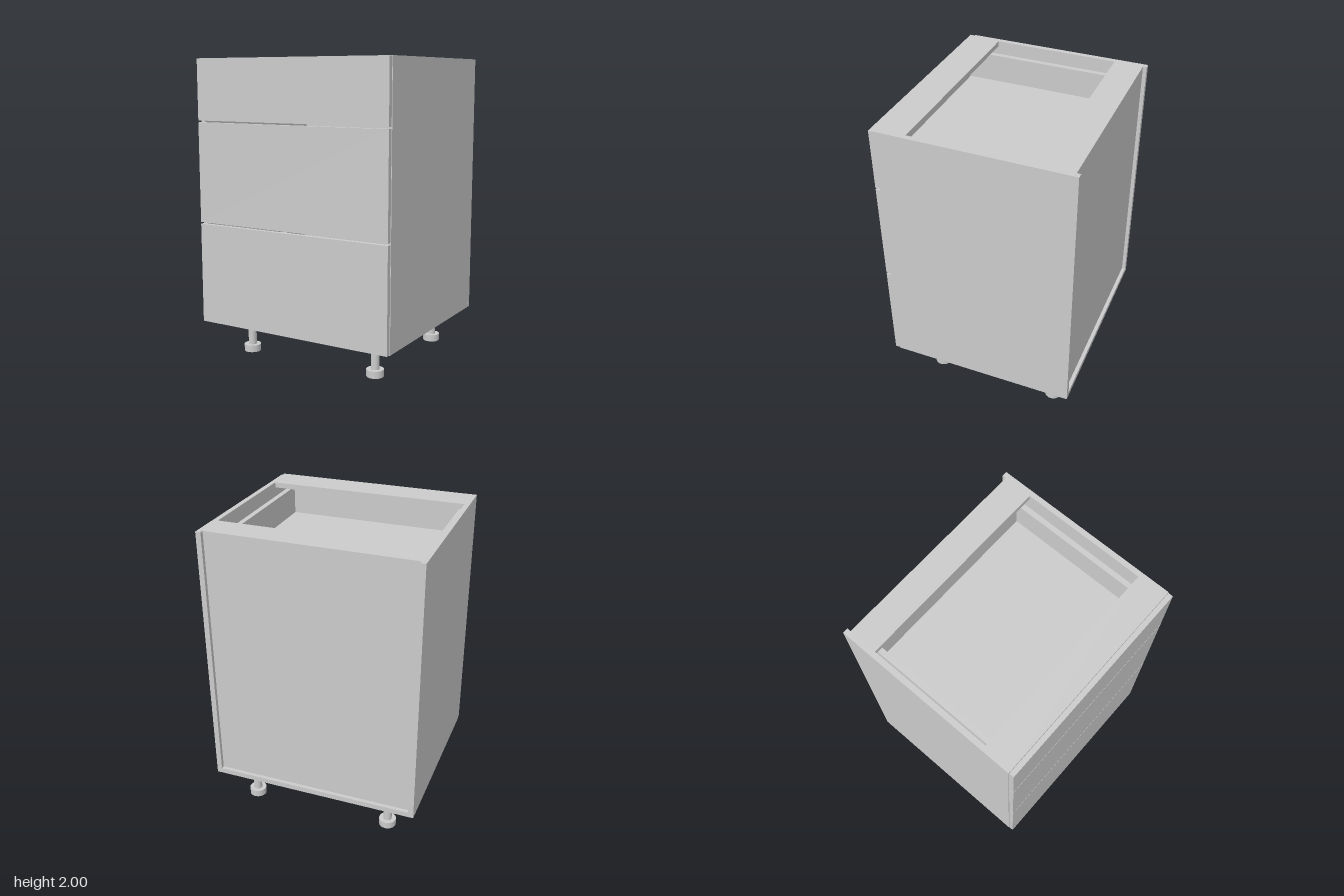
import * as THREE from 'three';

const material = new THREE.MeshStandardMaterial({ color: 0xcccccc });

// Box given by its minimum and maximum on each axis
function panel(parent, name, x0, x1, y0, y1, z0, z1) {
  const mesh = new THREE.Mesh(new THREE.BoxGeometry(x1 - x0, y1 - y0, z1 - z0), material);
  mesh.position.set((x0 + x1) / 2, (y0 + y1) / 2, (z0 + z1) / 2);
  mesh.name = name;
  parent.add(mesh);
}

function cylinder(parent, name, radius, y0, y1) {
  const mesh = new THREE.Mesh(new THREE.CylinderGeometry(radius, radius, y1 - y0, 32), material);
  mesh.position.y = (y0 + y1) / 2;
  mesh.name = name;
  parent.add(mesh);
}

// Open drawer box: two sides, back, inner front and a floor
function drawerBox(name, y0, y1) {
  const g = new THREE.Group();
  g.name = name;
  for (const s of [-1, 1]) {
    const a = s * 0.61, b = s * 0.645;
    panel(g, 'drawerSide', Math.min(a, b), Math.max(a, b), y0, y1, -0.5, 0.604);
  }
  panel(g, 'drawerBack', -0.61, 0.61, y0, y1, -0.5, -0.47);
  panel(g, 'drawerFloor', -0.61, 0.61, y0 + 0.01, y0 + 0.04, -0.47, 0.604);
  return g;
}

export function createModel() {
  const model = new THREE.Group();
  model.name = 'drawerCabinet';

  // Carcass
  const carcass = new THREE.Group();
  carcass.name = 'carcass';
  model.add(carcass);
  panel(carcass, 'leftSide', 0.67, 0.705, 0.24, 2, -0.637, 0.603);
  panel(carcass, 'rightSide', -0.705, -0.67, 0.24, 2, -0.637, 0.603);
  panel(carcass, 'bottom', -0.67, 0.67, 0.24, 0.275, -0.637, 0.603);
  panel(carcass, 'backPanel', -0.67, 0.67, 0.275, 2, -0.612, -0.595);
  panel(carcass, 'backRail', -0.67, 0.67, 1.965, 2, -0.595, -0.42);
  panel(carcass, 'frontRail', -0.67, 0.67, 1.965, 2, 0.41, 0.603);

  // Drawers with their fronts: [front bottom, front top, box bottom, box top]
  const drawers = [
    [0.243, 0.913, 0.33, 0.72],
    [0.925, 1.587, 1.0, 1.39],
    [1.599, 1.997, 1.69, 1.92],
  ];
  drawers.forEach(([f0, f1, b0, b1], i) => {
    const drawer = drawerBox('drawer' + (i + 1), b0, b1);
    panel(drawer, 'drawerFront', -0.702, 0.702, f0, f1, 0.605, 0.637);
    model.add(drawer);
  });

  // Small fixing pins on the outer sides and the top edges
  for (const s of [-1, 1]) {
    const geometry = new THREE.CylinderGeometry(0.007, 0.007, 0.004, 16);
    const sidePin = new THREE.Mesh(geometry, material);
    sidePin.name = 'sidePin';
    sidePin.rotation.z = Math.PI / 2;
    sidePin.scale.x = 1.8;
    sidePin.position.set(s * 0.704, 0.268, -0.608);
    const topPin = new THREE.Mesh(geometry, material);
    topPin.name = 'topPin';
    topPin.scale.x = 0.7;
    topPin.position.set(s * 0.688, 1.999, -0.608);
    model.add(sidePin, topPin);
  }

  // Adjustable legs
  for (const x of [-0.485, 0.485]) {
    for (const z of [-0.47, 0.38]) {
      const leg = new THREE.Group();
      leg.name = 'leg';
      leg.position.set(x, 0, z);
      cylinder(leg, 'foot', 0.057, 0, 0.047);
      cylinder(leg, 'stem', 0.028, 0.047, 0.195);
      cylinder(leg, 'flange', 0.057, 0.195, 0.24);
      model.add(leg);
    }
  }
  return model;
}
